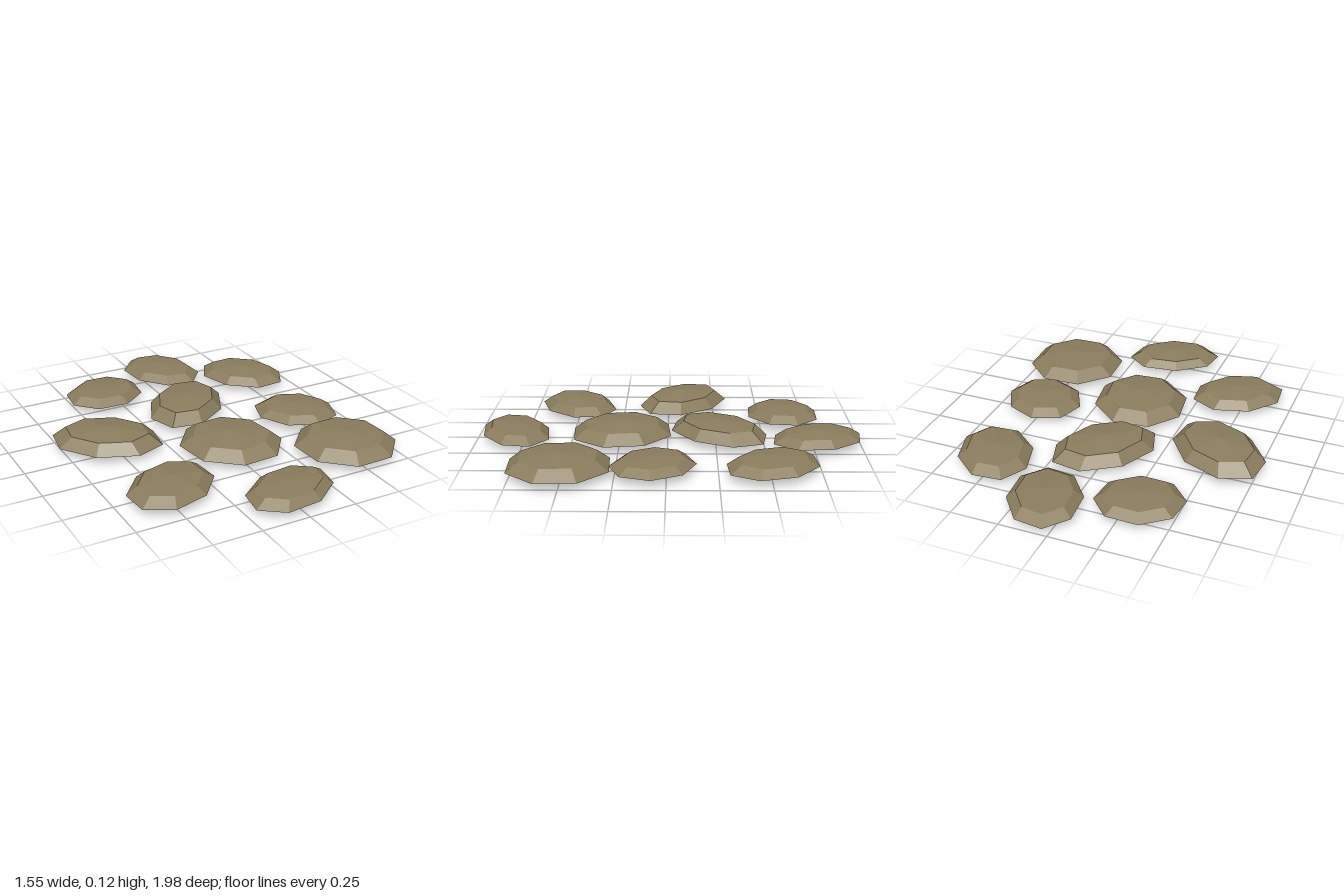
import * as THREE from 'three';

// Centre x, centre z, half width, half depth, turn about y, crown height
const STONES = [
  [0.116, -0.772, 0.185, 0.249, 0.38, 0.052],
  [-0.31, -0.628, 0.222, 0.197, 0.32, 0.051],
  [0.515, -0.513, 0.191, 0.253, 0.58, 0.053],
  [0.021, -0.268, 0.197, 0.292, -0.715, 0.077],
  [-0.526, -0.082, 0.292, 0.205, -0.67, 0.077],
  [0.516, 0.066, 0.226, 0.199, -0.76, 0.048],
  [0.018, 0.238, 0.253, 0.274, 0.5, 0.071],
  [-0.456, 0.505, 0.256, 0.191, 0.586, 0.055],
  [0.526, 0.519, 0.264, 0.265, 0.43, 0.071],
  [0.02, 0.794, 0.258, 0.175, 0.39, 0.052],
];
const RIM_Y = 0.044;

export function createModel() {
  const group = new THREE.Group();
  group.name = 'steppingStones';
  const material = new THREE.MeshStandardMaterial({ color: 0x8b7d5e, flatShading: true });

  // Eight-sided stone: shallow pointed underside, sharp rim, bevel and low crown
  const profile = [[0, -0.5], [1, 0], [0.75, 0.72], [0, 1]].map(([r, y]) => new THREE.Vector2(r, y));
  const geometry = new THREE.LatheGeometry(profile, 8);

  STONES.forEach(([x, z, halfWidth, halfDepth, turn, height], i) => {
    const stone = new THREE.Mesh(geometry, material);
    stone.name = `stone${i + 1}`;
    stone.position.set(x, RIM_Y, z);
    stone.rotation.y = turn;
    stone.scale.set(halfWidth, height, halfDepth);
    group.add(stone);
  });
  return group;
}
